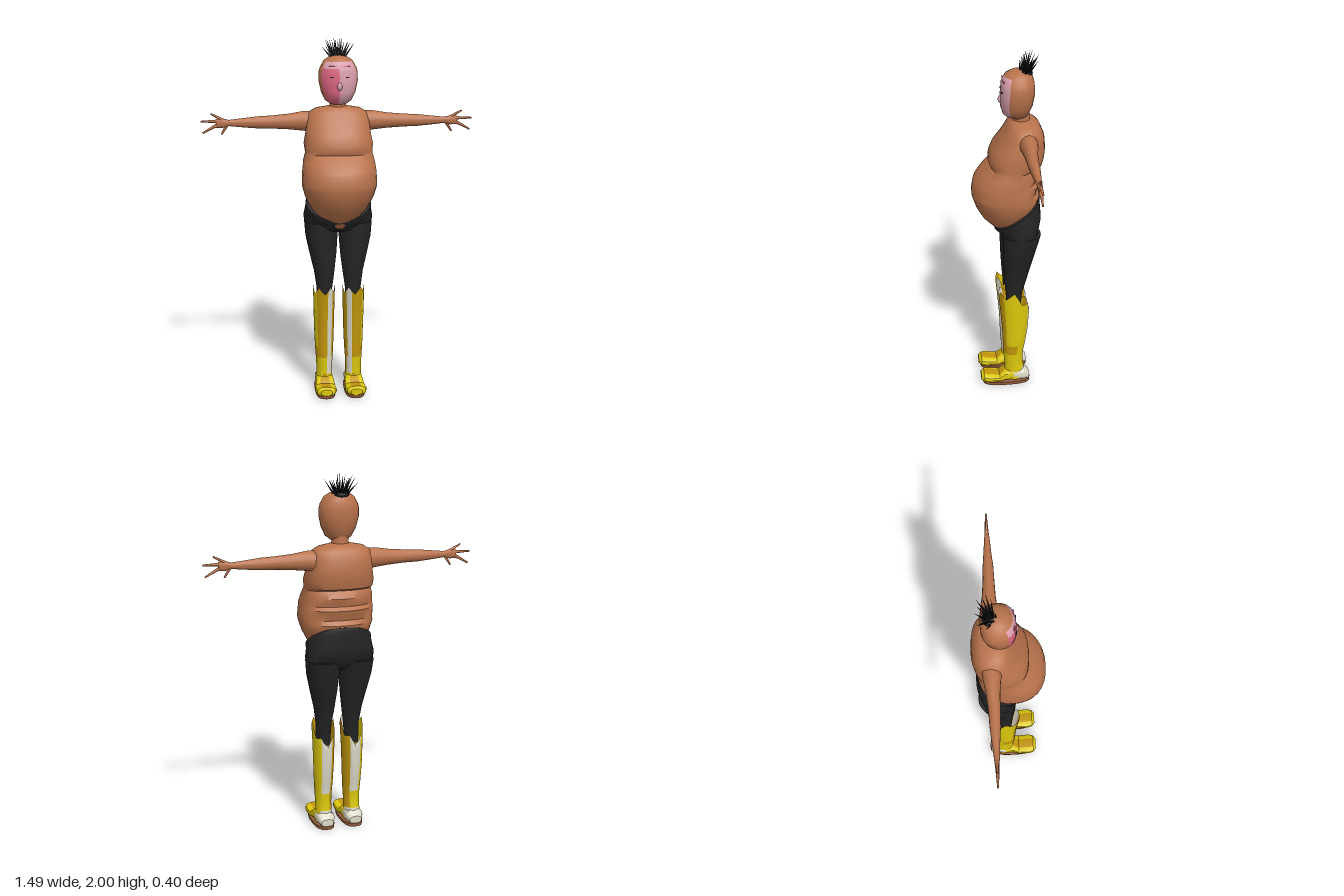
import * as THREE from 'three';
import { toCreasedNormals } from 'three/addons/utils/BufferGeometryUtils.js';

const mat = (name, color, side = THREE.FrontSide) => {
  const m = new THREE.MeshStandardMaterial({ color, side });
  m.name = name;
  return m;
};

// Loft through rings [y, centreX, halfWidth, zBack, zFront, squareness, yOffset(angle)], listed from low to high.
// paint(y, angle) picks a material index for each face; angle 0 is +x, 90 is the front.
function loft(rings, { cols = 24, crease = 0.8, paint = () => 0, capTop = true } = {}) {
  const pos = [], faces = {};
  for (const [y, cx, hx, zb, zf, e = 2, dy = () => 0] of rings) {
    for (let j = 0; j < cols; j++) {
      const a = (j / cols) * Math.PI * 2, c = Math.cos(a), s = Math.sin(a);
      const bend = (v) => Math.sign(v) * Math.abs(v) ** (2 / e);
      pos.push(cx + hx * bend(c), y + dy(a), (zb + zf) / 2 + ((zf - zb) / 2) * bend(s));
    }
  }
  const centre = ([y, cx, , zb, zf, , dy]) => {
    pos.push(cx, y + (dy ? dy(0) : 0), (zb + zf) / 2);
    return pos.length / 3 - 1;
  };
  const bottom = centre(rings[0]), top = centre(rings.at(-1));
  const n = rings.length;
  const add = (y, j, ...tri) => {
    const k = paint(y, ((j + 0.5) / cols) * 360);
    (faces[k] ??= []).push(...tri);
  };
  for (let j = 0; j < cols; j++) {
    const k = (j + 1) % cols;
    add(rings[0][0], j, bottom, j, k);
    for (let i = 0; i < n - 1; i++) {
      const a = i * cols + j, b = i * cols + k;
      add((rings[i][0] + rings[i + 1][0]) / 2, j, a, a + cols, b, b, a + cols, b + cols);
    }
    if (capTop) add(rings[n - 1][0], j, top, (n - 1) * cols + k, (n - 1) * cols + j);
  }
  const geo = new THREE.BufferGeometry();
  geo.setAttribute('position', new THREE.Float32BufferAttribute(pos, 3));
  const index = [];
  for (const k in faces) {
    geo.addGroup(index.length, faces[k].length, Number(k));
    index.push(...faces[k]);
  }
  geo.setIndex(index);
  return toCreasedNormals(geo, crease);
}

// Mirror a geometry across x, keeping its faces outward
function mirror(source) {
  const geo = source.index ? source.toNonIndexed() : source.clone();
  geo.scale(-1, 1, 1);
  for (const attr of Object.values(geo.attributes)) {
    const { array, itemSize: n } = attr;
    for (let i = 0; i < array.length; i += 3 * n) {
      for (let k = 0; k < n; k++) {
        [array[i + n + k], array[i + 2 * n + k]] = [array[i + 2 * n + k], array[i + n + k]];
      }
    }
  }
  return geo;
}

export function createModel() {
  const model = new THREE.Group();
  const skin = mat('skin', 0xb9734c);
  const black = mat('black cloth', 0x242424);
  const hairBlack = mat('hair', 0x121414);
  const yellow = mat('boot yellow', 0xdcc80c, THREE.DoubleSide);
  const gold = mat('boot gold', 0xc2960c, THREE.DoubleSide);
  const cream = mat('boot cream', 0xdcd9c8, THREE.DoubleSide);
  const soleBrown = mat('sole brown', 0x99603f);
  const pink = mat('face pink', 0xd9a0ae);
  const rose = mat('face rose', 0xdc6580);

  const add = (name, geo, material, parent = model) => {
    const mesh = new THREE.Mesh(geo, material);
    mesh.name = name;
    parent.add(mesh);
    return mesh;
  };
  const pair = (name, geo, material) => {
    add(name + 'Left', geo, material);
    add(name + 'Right', mirror(geo), material);
  };

  // Torso with a hanging belly, chest crease and back folds
  add('torso', loft([
    [0.955, 0, 0.02, 0, 0.055], [1.0, 0, 0.09, -0.06, 0.085], [1.06, 0, 0.15, -0.12, 0.143],
    [1.13, 0, 0.186, -0.155, 0.18, 2.2], [1.185, 0, 0.203, -0.168, 0.198, 2.3],
    [1.21, 0, 0.206, -0.15, 0.2, 2.3], [1.265, 0, 0.204, -0.168, 0.19, 2.3],
    [1.285, 0, 0.202, -0.148, 0.18, 2.3], [1.33, 0, 0.196, -0.16, 0.145, 2.4],
    [1.37, 0, 0.185, -0.135, 0.1, 2.5], [1.385, 0, 0.185, -0.18, 0.108, 2.5],
    [1.42, 0, 0.19, -0.19, 0.105, 2.5], [1.47, 0, 0.18, -0.196, 0.085, 2.5],
    [1.54, 0, 0.173, -0.19, 0.03, 2.5], [1.585, 0, 0.158, -0.17, 0.005, 2.5],
    [1.606, 0, 0.125, -0.15, -0.01, 2.3], [1.62, 0, 0.05, -0.115, -0.028],
  ], { cols: 32 }), skin);

  // Neck
  add('neck', new THREE.CylinderGeometry(0.043, 0.048, 0.1, 16).translate(0, 1.635, -0.07), skin);

  // Head with a two-tone painted face
  add('head', loft([
    [1.635, 0, 0.045, -0.1, 0.0], [1.655, 0, 0.072, -0.112, 0.028], [1.7, 0, 0.094, -0.13, 0.04, 2.2],
    [1.76, 0, 0.107, -0.14, 0.042, 2.3], [1.805, 0, 0.107, -0.141, 0.038, 2.3], [1.83, 0, 0.1, -0.138, 0.036, 2.3],
    [1.866, 0, 0.08, -0.128, 0.02, 2.2], [1.884, 0, 0.056, -0.112, -0.005], [1.893, 0, 0.02, -0.085, -0.035],
  ], {
    paint: (y, a) => (a < 30 || a > 150 || y < 1.64 || y > 1.87 ? 0 : a > 90 && y < 1.83 ? 2 : 1),
  }), [skin, pink, rose]);
  const nose = add('nose', new THREE.SphereGeometry(0.014, 12, 8), pink);
  nose.scale.set(1, 1.5, 0.9);
  nose.position.set(0, 1.735, 0.041);
  for (const s of [-1, 1]) {
    add('eye', new THREE.BoxGeometry(0.018, 0.005, 0.006), hairBlack).position.set(s * 0.042, 1.785, 0.036);
    add('brow', new THREE.BoxGeometry(0.04, 0.004, 0.006), rose).position.set(s * 0.035, 1.842, 0.026);
  }
  add('mouth', new THREE.BoxGeometry(0.035, 0.004, 0.006), rose).position.set(0, 1.695, 0.037);

  // Tuft of fanned hair spikes
  const hair = new THREE.Group();
  hair.name = 'hair';
  model.add(hair);
  const patch = add('hairBase', new THREE.SphereGeometry(0.045, 14, 8), hairBlack, hair);
  patch.scale.set(1, 0.45, 0.9);
  patch.position.set(0, 1.876, -0.09);
  const up = new THREE.Vector3(0, 1, 0);
  for (let i = 0; i < 22; i++) {
    const a = i * 2.4, r = Math.sqrt((i + 0.5) / 22);
    const base = new THREE.Vector3(Math.cos(a) * r * 0.035, 1.875, -0.088 + Math.sin(a) * r * 0.025);
    const tip = new THREE.Vector3(Math.cos(a) * r * 0.1, 2.0 - 0.04 * r * r - 0.012 * (i % 3), -0.115 + Math.sin(a) * r * 0.06);
    const dir = tip.clone().sub(base);
    const spike = add('hairSpike', new THREE.ConeGeometry(0.007, dir.length(), 5), hairBlack, hair);
    spike.position.copy(base).addScaledVector(dir, 0.5);
    spike.quaternion.setFromUnitVectors(up, dir.normalize());
  }

  // Arms, lofted upright then laid along x
  pair('arm', loft([
    [0.13, -1.53, 0.058, -0.145, -0.04], [0.19, -1.535, 0.054, -0.138, -0.045], [0.27, -1.533, 0.043, -0.125, -0.053],
    [0.36, -1.532, 0.036, -0.117, -0.056], [0.44, -1.531, 0.033, -0.114, -0.058], [0.53, -1.53, 0.024, -0.106, -0.066],
    [0.595, -1.53, 0.017, -0.1, -0.07], [0.63, -1.53, 0.026, -0.097, -0.073], [0.665, -1.529, 0.024, -0.094, -0.076],
  ], { cols: 16 }).rotateZ(-Math.PI / 2), skin);

  // Spread fingers: start x, y and tip x, y
  for (const [x0, y0, x1, y1] of [
    [0.615, 1.54, 0.692, 1.582], [0.65, 1.54, 0.747, 1.54], [0.65, 1.525, 0.738, 1.476], [0.6, 1.525, 0.635, 1.468],
  ]) {
    const len = Math.hypot(x1 - x0, y1 - y0);
    const finger = new THREE.CylinderGeometry(0.0045, 0.01, len, 8);
    finger.rotateZ(Math.atan2(y1 - y0, x1 - x0) - Math.PI / 2).translate((x0 + x1) / 2, (y0 + y1) / 2, -0.085);
    pair('finger', finger, skin);
  }

  // Hips with a waistband dipping under the belly
  const dip = (d) => (a) => -d * Math.sin(a);
  add('hips', loft([
    [0.925, 0, 0.11, -0.11, 0.0], [0.96, 0, 0.187, -0.165, 0.036, 2.3, dip(0.02)],
    [1.01, 0, 0.192, -0.178, 0.045, 2.3, dip(0.05)], [1.06, 0, 0.182, -0.172, 0.068, 2.2, dip(0.08)],
    [1.075, 0, 0.183, -0.172, 0.08, 2.2, dip(0.085)], [1.09, 0, 0.18, -0.168, 0.082, 2.2, dip(0.085)],
    [1.092, 0, 0.165, -0.155, 0.07, 2.2, dip(0.085)],
  ], { cols: 32 }), black);

  // Trouser legs
  pair('trouserLeg', loft([
    [0.48, 0.083, 0.04, -0.06, 0.015], [0.6, 0.08, 0.044, -0.072, 0.022], [0.7, 0.08, 0.058, -0.1, 0.03],
    [0.8, 0.086, 0.076, -0.125, 0.035], [0.9, 0.093, 0.09, -0.15, 0.037, 2.2], [0.98, 0.096, 0.093, -0.17, 0.04, 2.3],
  ]), black);

  // Boot shafts with a pointed rim and colour panels
  const rim = (a) => 0.02 * Math.cos(6 * a) - 0.09 * Math.max(0, -Math.sin(a));
  const shaftPaint = (y, a) => {
    if (y < 0.12) return a > 200 && a < 320 ? 2 : a > 75 && a < 105 ? 1 : 0;
    if (y < 0.19) return a > 100 && a < 150 ? 2 : a > 150 && a < 240 ? 1 : 0;
    if (y < 0.27 && (a < 60 || a > 345)) return 1;
    if ((a > 105 && a < 135) || (a > 240 && a < 300)) return 2;
    return a > 45 && a < 240 ? 1 : 0;
  };
  pair('bootShaft', loft([
    [0.03, 0.083, 0.05, -0.095, 0.03], [0.1, 0.083, 0.045, -0.082, 0.028], [0.14, 0.083, 0.045, -0.076, 0.03],
    [0.2, 0.083, 0.048, -0.078, 0.036], [0.26, 0.083, 0.052, -0.09, 0.038], [0.36, 0.083, 0.056, -0.105, 0.042],
    [0.48, 0.083, 0.059, -0.113, 0.052], [0.6, 0.083, 0.061, -0.108, 0.062, 2.2, rim],
  ], { crease: 0.4, paint: shaftPaint, capTop: false }), [yellow, gold, cream]);

  // Boot feet, lofted heel to toe
  pair('bootFoot', loft([
    [-0.112, 0.083, 0.035, -0.06, -0.018, 2.5], [-0.08, 0.083, 0.05, -0.09, -0.016, 2.5],
    [-0.02, 0.083, 0.05, -0.1, -0.016, 2.5], [0.03, 0.083, 0.053, -0.085, -0.016, 2.5],
    [0.06, 0.084, 0.058, -0.058, -0.014, 2.5], [0.12, 0.084, 0.061, -0.066, -0.014, 2.5],
    [0.15, 0.084, 0.053, -0.07, -0.016, 2.5], [0.166, 0.084, 0.032, -0.06, -0.024, 2.5],
  ], {
    cols: 16, crease: 0.5,
    paint: (z, a) => (z < -0.03 ? 2 : z > 0.04 && z < 0.14 && a > 245 && a < 295 ? 1 : 0),
  }).rotateX(Math.PI / 2), [yellow, gold, cream]);

  // Soles
  pair('sole', loft([
    [0, 0.083, 0.056, -0.115, 0.155, 2.8], [0.02, 0.083, 0.059, -0.118, 0.16, 2.8],
  ]), soleBrown);

  return model;
}
